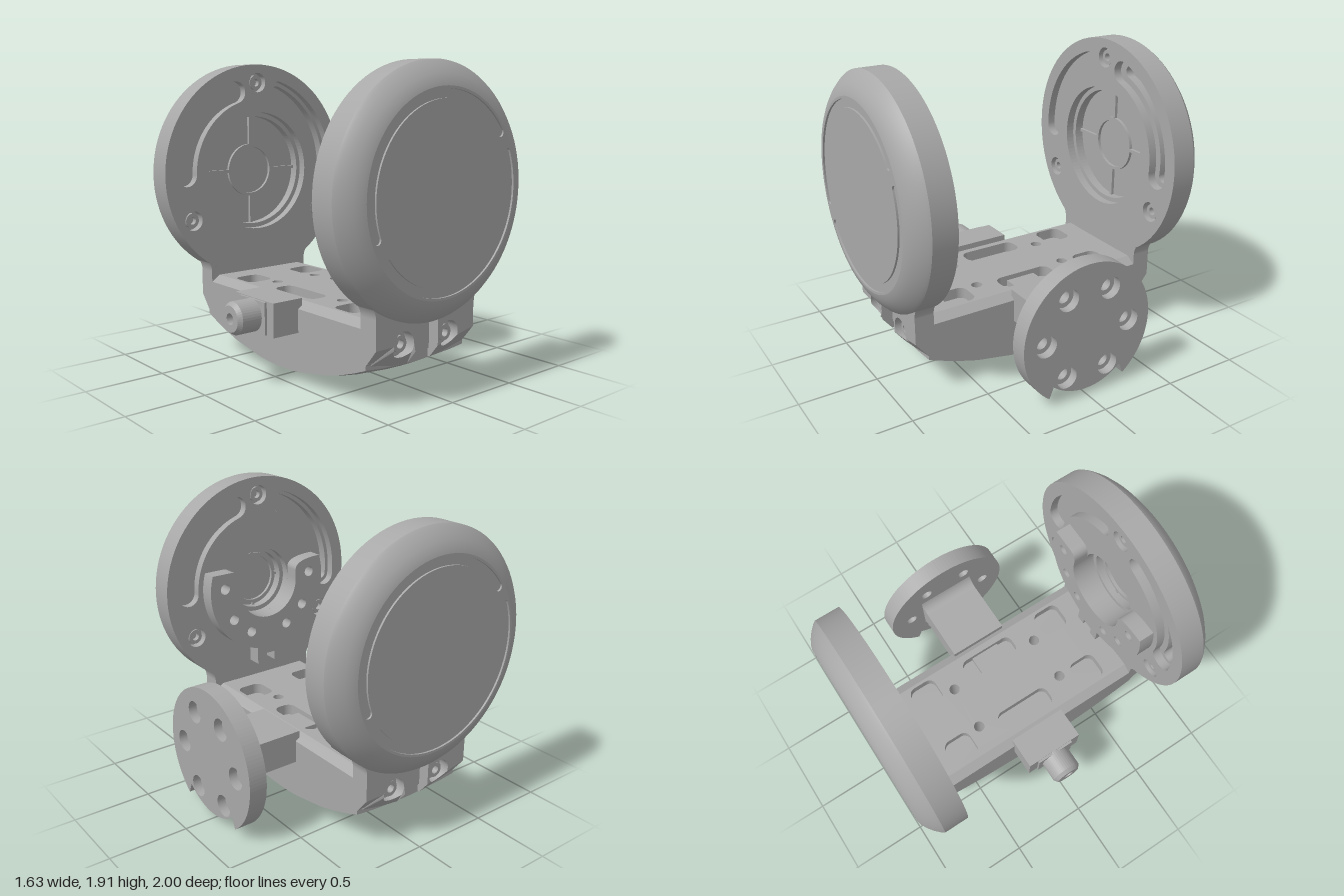
import * as THREE from 'three';

const steel = new THREE.MeshStandardMaterial({ color: 0xa8a8a8 });
steel.name = 'machined grey';
const PI = Math.PI, rad = d => d * PI / 180;

const add = (parent, name, geo) => {
  const m = new THREE.Mesh(geo, steel);
  m.name = name;
  parent.add(m);
  return m;
};
const box = (x0, x1, y0, y1, z0, z1) =>
  new THREE.BoxGeometry(x1 - x0, y1 - y0, z1 - z0).translate((x0 + x1) / 2, (y0 + y1) / 2, (z0 + z1) / 2);
const extrude = (shape, depth) => new THREE.ExtrudeGeometry(shape, { depth, bevelEnabled: false, curveSegments: 48 });
const exZ = (s, z0, z1) => extrude(s, z1 - z0).translate(0, 0, z0);
const exX = (s, x0, x1) => extrude(s, x1 - x0).rotateY(PI / 2).translate(x0, 0, 0);
const exY = (s, y0, y1) => extrude(s, y1 - y0).rotateX(-PI / 2).translate(0, y0, 0);
const poly = pts => new THREE.Shape(pts.map(p => new THREE.Vector2(...p)));
const rect = (x0, x1, y0, y1) => poly([[x0, y0], [x1, y0], [x1, y1], [x0, y1]]);
const circle = (x, y, r, C = THREE.Path) => new C().absarc(x, y, r, 0, 2 * PI);

// Rounded rectangle hole
function roundRect(cx, cy, w, h, r) {
  const p = new THREE.Path(), a = w / 2 - r, b = h / 2 - r;
  p.absarc(cx + a, cy + b, r, 0, PI / 2);
  p.absarc(cx - a, cy + b, r, PI / 2, PI);
  p.absarc(cx - a, cy - b, r, PI, 1.5 * PI);
  p.absarc(cx + a, cy - b, r, 1.5 * PI, 2 * PI);
  return p;
}

// Curved slot with round ends, angles in degrees
function arcSlot(r0, r1, d0, d1) {
  const a0 = rad(d0), a1 = rad(d1), rm = (r0 + r1) / 2, w = (r1 - r0) / 2, p = new THREE.Path();
  p.absarc(0, 0, r1, a0, a1);
  p.absarc(rm * Math.cos(a1), rm * Math.sin(a1), w, a1, a1 + PI);
  p.absarc(0, 0, r0, a1, a0, true);
  p.absarc(rm * Math.cos(a0), rm * Math.sin(a0), w, a0 + PI, a0 + 2 * PI);
  return p;
}

// Socket screw head, a short ring along z
function screw(parent, x, y, z0, z1) {
  const s = circle(x, y, 0.048, THREE.Shape);
  s.holes.push(circle(x, y, 0.025));
  add(parent, 'screw', exZ(s, z0, z1));
}

// Round housing: outer face toward +z, recessed inner face
function makeHousing(bore) {
  const g = new THREE.Group();
  g.name = 'housing';
  g.position.y = 1.185;
  const profile = [[0.722, 0.745], [0.722, 0.9], [0.722, 0.9], [0.71, 0.917], [0.68, 0.947], [0.645, 0.973], [0.61, 0.992], [0.58, 1]];
  add(g, 'rim', new THREE.LatheGeometry(profile.map(p => new THREE.Vector2(...p)), 96).rotateX(PI / 2));
  const face = circle(0, 0, 0.58, THREE.Shape);
  face.holes.push(arcSlot(0.515, 0.565, 36, 201), arcSlot(0.515, 0.565, 217, 382));
  add(g, 'groovedFace', exZ(face, 0.98, 1));
  add(g, 'core', exZ(circle(0, 0, 0.58, THREE.Shape), 0.86, 0.988));
  add(g, 'outerFloor', new THREE.RingGeometry(0.5, 0.715, 96).rotateY(PI).translate(0, 0, 0.862));

  const screws = [90, 210, 330].map(d => [0.6 * Math.cos(rad(d)), 0.6 * Math.sin(rad(d))]);
  const inner = circle(0, 0, 0.7215, THREE.Shape);
  inner.holes.push(circle(0, 0, bore), arcSlot(0.49, 0.635, 108, 186), arcSlot(0.49, 0.635, 0, 72));
  screws.forEach(([x, y]) => inner.holes.push(circle(x, y, 0.065)));
  add(g, 'innerPlate', exZ(inner, 0.745, 0.8));
  const step = circle(0, 0, 0.7215, THREE.Shape);
  step.holes.push(circle(0, 0, bore - 0.03), arcSlot(0.53, 0.61, 110, 186));
  add(g, 'innerStep', exZ(step, 0.8, 0.862));
  screws.forEach(([x, y]) => screw(g, x, y, 0.765, 0.8));

  // Raised ring and spokes on the recess floor
  const ring = circle(0, 0, 0.18, THREE.Shape);
  ring.holes.push(circle(0, 0, 0.16));
  add(g, 'floorRing', exZ(ring, 0.84, 0.861));
  for (let i = 0; i < 4; i++)
    add(g, 'floorSpoke', box(0.175, bore - 0.02, -0.01, 0.01, 0.84, 0.861)).rotation.z = i * PI / 2;
  return g;
}

// Horseshoe mount on the inside of the front housing
function makeHorseshoe() {
  const g = new THREE.Group(), s = new THREE.Shape(), a = Math.asin(0.135 / 0.455);
  g.name = 'horseshoeMount';
  g.position.y = 1.185;
  s.absarc(0, 0, 0.455, a, PI - a, true);
  s.quadraticCurveTo(-0.23, 0.135, -0.23, 0.06);
  s.absarc(0, 0, 0.23, PI, 2 * PI);
  s.lineTo(0.23, 0.06);
  s.quadraticCurveTo(0.23, 0.135, 0.3, 0.135);
  for (const d of [5, 175, 215, 245, 295, 325])
    s.holes.push(circle(0.345 * Math.cos(rad(d)), 0.345 * Math.sin(rad(d)), 0.035));
  add(g, 'horseshoe', exZ(s, 0.645, 0.746));
  const tab = poly([[-0.1, -0.44], [-0.1, -0.565], [-0.04, -0.565], [-0.04, -0.5], [0.04, -0.5], [0.04, -0.565], [0.1, -0.565], [0.1, -0.44]]);
  add(g, 'keyTab', exZ(tab, 0.646, 0.746));
  return g;
}

// One end of the yoke: neck, bolt pads and housing
function makeEnd(bore) {
  const g = new THREE.Group();
  const neck = poly([[-0.39, 0.46], [0.39, 0.46], [0.39, 0.53]]);
  neck.quadraticCurveTo(0.39, 0.58, 0.44, 0.63);
  neck.lineTo(-0.44, 0.63);
  neck.quadraticCurveTo(-0.39, 0.58, -0.39, 0.53);
  add(g, 'neck', exZ(neck, 0.747, 0.87));
  for (const s of [-1, 1]) {
    const pts = [[0.09, 0.22], [0.39, 0.22], [0.39, 0.36], [0.39, 0.46], [0.09, 0.46], [0.09, 0.3]];
    const pad = poly(pts.map(([x, y]) => [s * x, y]));
    pad.holes.push(circle(s * 0.18, 0.355, 0.078));
    const geo = exZ(pad, 0.74, 0.87), p = geo.attributes.position;
    for (let i = 0; i < p.count; i++) { // slope the lower edge back
      const start = 0.3 + 0.2 * (Math.abs(p.getX(i)) - 0.09);
      if (p.getZ(i) > 0.8) p.setZ(i, 0.87 - Math.max(0, start - p.getY(i)) * 0.8);
    }
    geo.computeVertexNormals();
    add(g, 'boltPad', geo);
    screw(g, s * 0.18, 0.355, 0.79, 0.84);
  }
  g.add(makeHousing(bore));
  return g;
}

// Bulged bottom cover, built from cells so the bolt holes pass through
function makeCover() {
  const g = new THREE.Group();
  g.name = 'bottomCover';
  const xs = [-0.39, -0.27, -0.04, 0.04, 0.27, 0.39];
  const zs = [-0.79, -0.7, -0.59, -0.46, -0.19, -0.1, 0, 0.1, 0.19, 0.46, 0.59, 0.7, 0.79];
  for (let i = 0; i + 1 < xs.length; i++) for (let j = 0; j + 1 < zs.length; j++) {
    const cell = rect(xs[i], xs[i + 1], zs[j], zs[j + 1]);
    if (i % 2 && (j === 3 || j === 8)) cell.holes.push(circle(Math.sign(xs[i] + 0.1) * 0.155, Math.sign(zs[j]) * 0.325, 0.07));
    const geo = exY(cell, 0, 0.285), p = geo.attributes.position;
    for (let k = 0; k < p.count; k++) {
      const t = (p.getZ(k) / 0.79) ** 2, u = (p.getX(k) / 0.39) ** 2;
      if (p.getY(k) < 0.1) p.setY(k, 0.21 * t + 0.062 * u * (1 - 0.6 * t));
    }
    geo.computeVertexNormals();
    add(g, 'coverPanel', geo);
  }
  return g;
}

// Deck with sloped shoulders, blind pockets and four through holes
function makeDeck() {
  const g = new THREE.Group();
  g.name = 'deck';
  const low = rect(-0.39, 0.39, -0.8, 0.8), top = rect(-0.33, 0.33, -0.8, 0.8);
  for (const sx of [-1, 1]) {
    for (const sz of [-1, 1]) {
      for (const s of [low, top]) s.holes.push(circle(sx * 0.155, sz * 0.325, 0.035));
      top.holes.push(roundRect(sx * 0.22, sz * 0.505, 0.18, 0.19, 0.05));
    }
    top.holes.push(roundRect(sx * 0.22, 0, 0.135, 0.39, 0.05));
    const shoulder = poly([[0.33, 0.43], [0.39, 0.43], [0.39, 0.46], [0.33, 0.5]].map(([x, y]) => [sx * x, y]));
    add(g, 'shoulder', exZ(shoulder, -0.8, 0.8));
  }
  add(g, 'lowerDeck', exY(low, 0.27, 0.43));
  add(g, 'upperDeck', exY(top, 0.43, 0.5));
  add(g, 'pocketBridge', box(0.155, 0.285, 0.43, 0.47, -0.1, 0.1));
  return g;
}

// Side arm with the bolt flange
function makeFlangeArm() {
  const g = new THREE.Group();
  g.name = 'flangeArm';
  const arm = poly([[0.36, 0.315], [0.7, 0.315]]);
  arm.quadraticCurveTo(0.765, 0.31, 0.785, 0.25);
  arm.lineTo(0.785, 0.59);
  arm.quadraticCurveTo(0.765, 0.525, 0.7, 0.522);
  arm.lineTo(0.36, 0.522);
  add(g, 'arm', exZ(arm, -0.195, 0.195));
  for (const [x0, x1, r] of [[0.78, 0.84, 0.04], [0.84, 0.895, 0.07]]) {
    const s = new THREE.Shape();
    s.absarc(0, 0, 0.448, rad(-53), rad(233));
    s.absarc(0, 0, 0.375, rad(230), rad(310));
    for (let i = 0; i < 6; i++) s.holes.push(circle(0.295 * Math.cos(i * PI / 3), 0.295 * Math.sin(i * PI / 3), r));
    add(g, 'flange', exX(s, x0, x1).translate(0, 0.42, 0));
  }
  return g;
}

// Opposite arm with the round plug
function makePlugArm() {
  const g = new THREE.Group();
  g.name = 'plugArm';
  add(g, 'arm', box(-0.57, -0.36, 0.315, 0.522, -0.195, 0.195));
  add(g, 'collar', box(-0.585, -0.56, 0.32, 0.517, -0.13, 0.13));
  const pts = [[0.1, 0.56], [0.1, 0.715], [0.08, 0.74], [0.035, 0.74], [0.035, 0.69], [0, 0.69]];
  const geo = new THREE.LatheGeometry(pts.map(p => new THREE.Vector2(...p)), 40).toNonIndexed();
  geo.computeVertexNormals();
  add(g, 'plug', geo.rotateZ(PI / 2).translate(0, 0.42, 0));
  return g;
}

export function createModel() {
  const model = new THREE.Group(), body = new THREE.Group();
  model.name = 'yokeMount';
  body.name = 'body';
  body.position.x = -0.08;
  model.add(body);
  const front = makeEnd(0.23), back = makeEnd(0.4);
  front.name = 'frontEnd';
  back.name = 'backEnd';
  back.rotation.y = PI;
  front.add(makeHorseshoe());
  body.add(front, back, makeDeck(), makeCover(), makeFlangeArm(), makePlugArm());
  return model;
}
